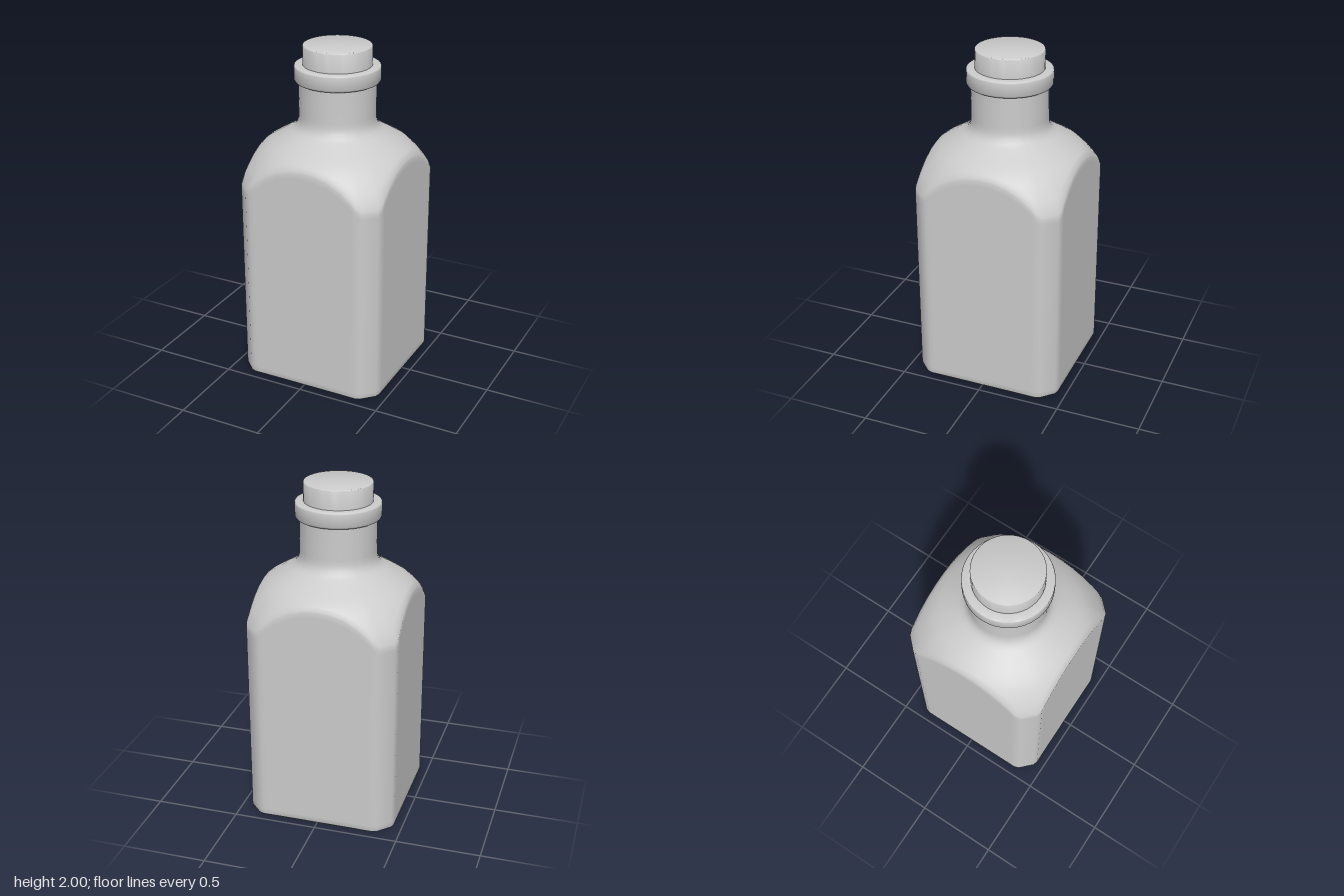
import * as THREE from 'three';
import { toCreasedNormals } from 'three/addons/utils/BufferGeometryUtils.js';

const material = new THREE.MeshStandardMaterial({ color: 0xcccccc });

// Square outline with softened, cut corners, as polar points (angle a, radius r)
function bodyOutline() {
  const side = [-0.34, -0.31, -0.24, -0.16, -0.08, 0, 0.08, 0.16, 0.24, 0.31, 0.34]
    .map(x => [x, 0.45]);
  side.push([0.37, 0.44], [0.44, 0.37]);
  const points = [];
  for (let q = 0; q < 4; q++) {
    for (const [x, z] of side) {
      points.push({ a: Math.atan2(x, z) + q * Math.PI / 2, r: Math.hypot(x, z) });
    }
  }
  return points;
}

// Domed shoulder height at a distance r from the axis
const shoulderY = r => 1.5 - 0.59 * (r - 0.275) - 3.6 * Math.max(0, r - 0.4) ** 2;

// Skin a stack of rings; each ring maps an outline radius R to [radius, height]
function skin(outline, rings) {
  const n = outline.length, positions = [], index = [];
  for (const ring of rings) {
    for (const { a, r } of outline) {
      const [radius, y] = ring(r);
      positions.push(radius * Math.sin(a), y, radius * Math.cos(a));
    }
  }
  for (let k = 0; k < rings.length - 1; k++) {
    for (let j = 0; j < n; j++) {
      const a = k * n + j, b = k * n + (j + 1) % n;
      if (k > 0) index.push(a, b, b + n);
      index.push(k > 0 ? a : b, b + n, a + n);
    }
  }
  const geometry = new THREE.BufferGeometry();
  geometry.setAttribute('position', new THREE.Float32BufferAttribute(positions, 3));
  geometry.setIndex(index);
  return toCreasedNormals(geometry, 0.85);
}

function lathe(name, profile) {
  const geometry = new THREE.LatheGeometry(profile.map(p => new THREE.Vector2(...p)), 40);
  const mesh = new THREE.Mesh(toCreasedNormals(geometry, 0.85), material);
  mesh.name = name;
  return mesh;
}

export function createModel() {
  const group = new THREE.Group();
  group.name = 'bottle';

  // Base and straight walls, with narrow rounded edges
  const rings = [
    R => [0, 0],
    R => [R - 0.03, 0],
    R => [R - 0.01, 0],
    R => [R - 0.003, 0.003],
    R => [R, 0.01],
    R => [R, 0.04],
    R => [R, shoulderY(R) - 0.05],
    R => [R, shoulderY(R) - 0.018],
    R => [R - 0.004, shoulderY(R) - 0.007],
    R => [R - 0.016, shoulderY(R - 0.016)],
  ];
  // Shoulder dome, closing in on the round neck
  for (let t = 0.85; t > -0.01; t -= 0.17) {
    rings.push(R => {
      const r = 0.275 + (R - 0.275) * Math.max(t, 0);
      return [r, shoulderY(r)];
    });
  }
  // Curve up into the neck
  for (const p of [[0.25, 1.517], [0.234, 1.54], [0.226, 1.568], [0.225, 1.6], [0.225, 1.8]]) {
    rings.push(() => p);
  }
  const body = new THREE.Mesh(skin(bodyOutline(), rings), material);
  body.name = 'body';
  group.add(body);

  // Lip collar around the mouth
  group.add(lathe('lip', [
    [0.21, 1.788], [0.235, 1.788], [0.244, 1.792], [0.25, 1.803],
    [0.25, 1.875], [0.248, 1.882], [0.242, 1.885], [0.19, 1.885],
  ]));

  // Stopper
  group.add(lathe('stopper', [
    [0, 1.84], [0.2, 1.84], [0.2, 1.994], [0.198, 1.998], [0.194, 2], [0, 2],
  ]));

  return group;
}
